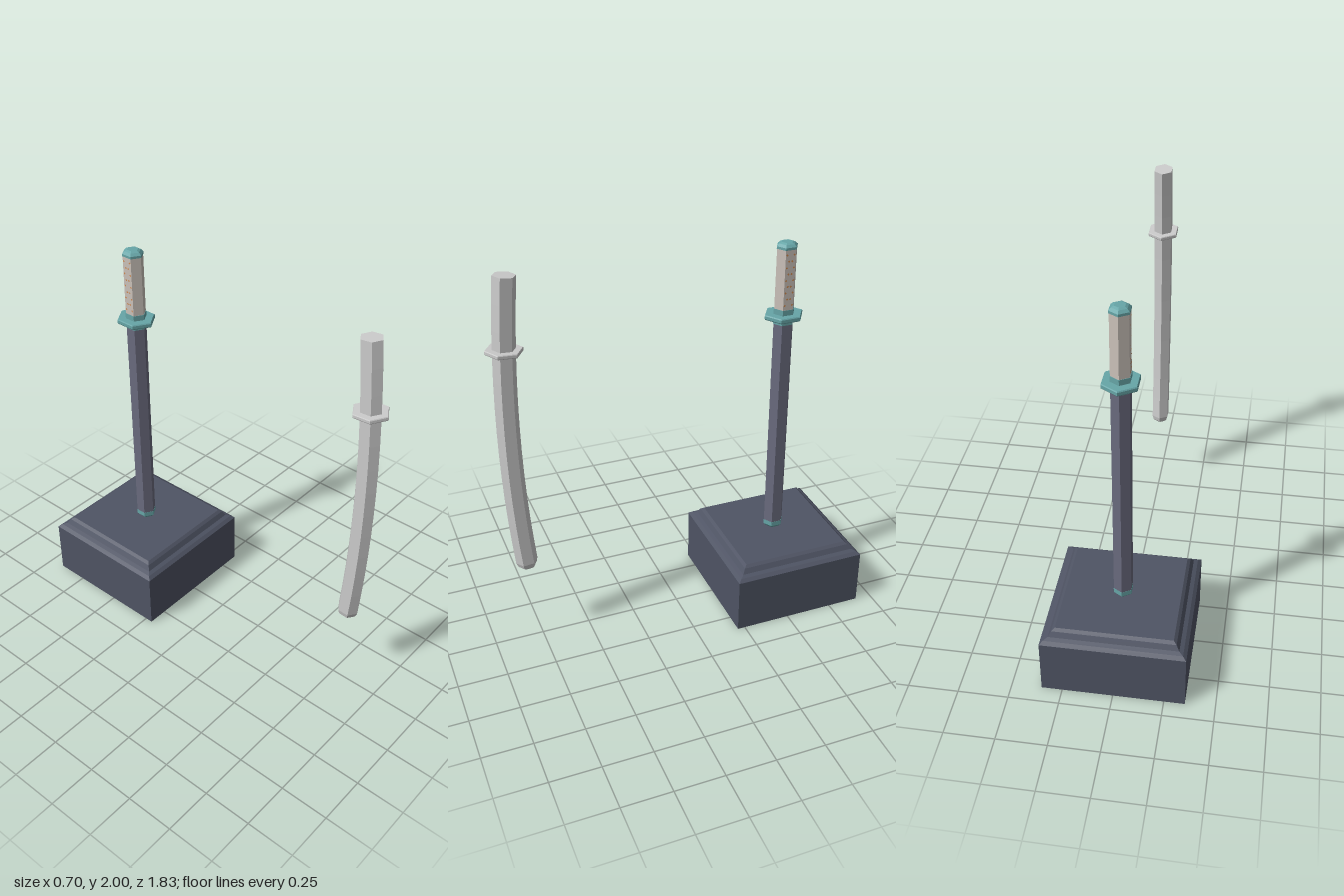
import * as THREE from 'three';

const HEX = [[0, 1], [1, 0.5], [1, -0.5], [0, -1], [-1, -0.5], [-1, 0.5]];
const SQUARE = [[-1, 1], [1, 1], [1, -1], [-1, -1]];

const material = (color) => new THREE.MeshStandardMaterial({ color, flatShading: true });
const GREY = material(0xcccccc);
const STONE = material(0x4f5464);
const SHEATH = material(0x6a6b7e);
const TEAL = material(0x67a6a8);
const GRIP = material(0xcbc2ba);
const ORANGE = material(0xd08a50);

// Closed loft through rings { y, z, hx, hz, tilt }; tilt is the slope dz/dy of the axis.
function loft(name, outline, rings, mat) {
  const n = outline.length;
  const pos = [];
  const index = [];
  for (const { y, z = 0, hx, hz, tilt = 0 } of rings) {
    const a = Math.atan(tilt);
    for (const [u, v] of outline) {
      pos.push(u * hx, y - v * hz * Math.sin(a), z + v * hz * Math.cos(a));
    }
  }
  for (let i = 0; i < rings.length - 1; i++) {
    for (let j = 0; j < n; j++) {
      const a = i * n + j, b = i * n + (j + 1) % n;
      index.push(a, b, b + n, a, b + n, a + n);
    }
  }
  const top = (rings.length - 1) * n;
  for (let j = 1; j < n - 1; j++) {
    index.push(0, j + 1, j, top, top + j, top + j + 1);
  }
  const indexed = new THREE.BufferGeometry();
  indexed.setAttribute('position', new THREE.Float32BufferAttribute(pos, 3));
  indexed.setIndex(index);
  const geometry = indexed.toNonIndexed();
  geometry.computeVertexNormals();
  const mesh = new THREE.Mesh(geometry, mat);
  mesh.name = name;
  return mesh;
}

// Straight hexagonal part from [y, scale] pairs
const hexPart = (name, profile, mat, hx = 0.043, hz = 0.053) =>
  loft(name, HEX, profile.map(([y, s]) => ({ y, hx: hx * s, hz: hz * s })), mat);

function createStand() {
  const profile = [[0, 0.352], [0.295, 0.352], [0.31, 0.335], [0.318, 0.315], [0.343, 0.3], [0.355, 0.285]];
  return loft('pedestal', SQUARE, profile.map(([y, h]) => ({ y, hx: h, hz: h })), STONE);
}

function createSheathedSword() {
  const sword = new THREE.Group();
  sword.name = 'sheathedSword';
  sword.add(
    hexPart('sheathTip', [[0.353, 0.5], [0.36, 0.75], [0.375, 1.02], [0.4, 1.02]], TEAL),
    hexPart('sheath', [[0.4, 1], [1.555, 1]], SHEATH),
    hexPart('lowerCollar', [[1.555, 1.04], [1.584, 1.04]], TEAL),
    hexPart('guard', [[1.582, 0.96], [1.587, 1], [1.602, 1], [1.607, 0.96]], TEAL, 0.08, 0.102),
    hexPart('upperCollar', [[1.605, 1.04], [1.635, 1.04]], TEAL),
    hexPart('grip', [[1.635, 1], [1.942, 1]], GRIP),
    hexPart('pommel', [[1.94, 1.04], [1.952, 1.04], [1.964, 0.8], [1.97, 0.55]], TEAL),
  );

  // Small diamond flecks on both flat sides of the grip
  const diamond = new THREE.CircleGeometry(0.006, 4);
  for (const side of [-1, 1]) {
    for (let i = 0; i < 9; i++) {
      for (const z of i % 2 ? [-0.008, 0.008] : [-0.019, 0.019]) {
        const fleck = new THREE.Mesh(diamond, ORANGE);
        fleck.name = 'gripFleck';
        fleck.position.set(side * 0.0436, 1.66 + i * 0.032, z);
        fleck.rotation.y = side * Math.PI / 2;
        sword.add(fleck);
      }
    }
  }
  return sword;
}

function createCurvedSword() {
  const sword = new THREE.Group();
  sword.name = 'curvedSword';

  // Axis bows gently forward as a parabola
  const bow = 0.066, middle = 1.21;
  const ring = (y, hx, hz) => ({
    y, hx, hz,
    z: 0.84 - bow * (y - middle) ** 2,
    tilt: -2 * bow * (y - middle),
  });

  const rings = [ring(0.44, 0.024, 0.03), ring(0.453, 0.037, 0.047), ring(0.478, 0.043, 0.055)];
  const steps = 12;
  for (let i = 1; i <= steps; i++) {
    rings.push(ring(0.478 + (1.995 - 0.478) * i / steps, 0.043, 0.055));
  }
  sword.add(
    loft('curvedBody', HEX, rings, GREY),
    loft('curvedGuard', HEX, [[1.629, 0.97], [1.633, 1], [1.645, 1], [1.649, 0.97]]
      .map(([y, s]) => ring(y, 0.073 * s, 0.09 * s)), GREY),
  );
  return sword;
}

export function createModel() {
  const model = new THREE.Group();
  model.name = 'swordDisplay';
  const display = new THREE.Group();
  display.name = 'standWithSword';
  display.add(createStand(), createSheathedSword());
  display.position.z = -0.563;
  model.add(display, createCurvedSword());
  return model;
}
